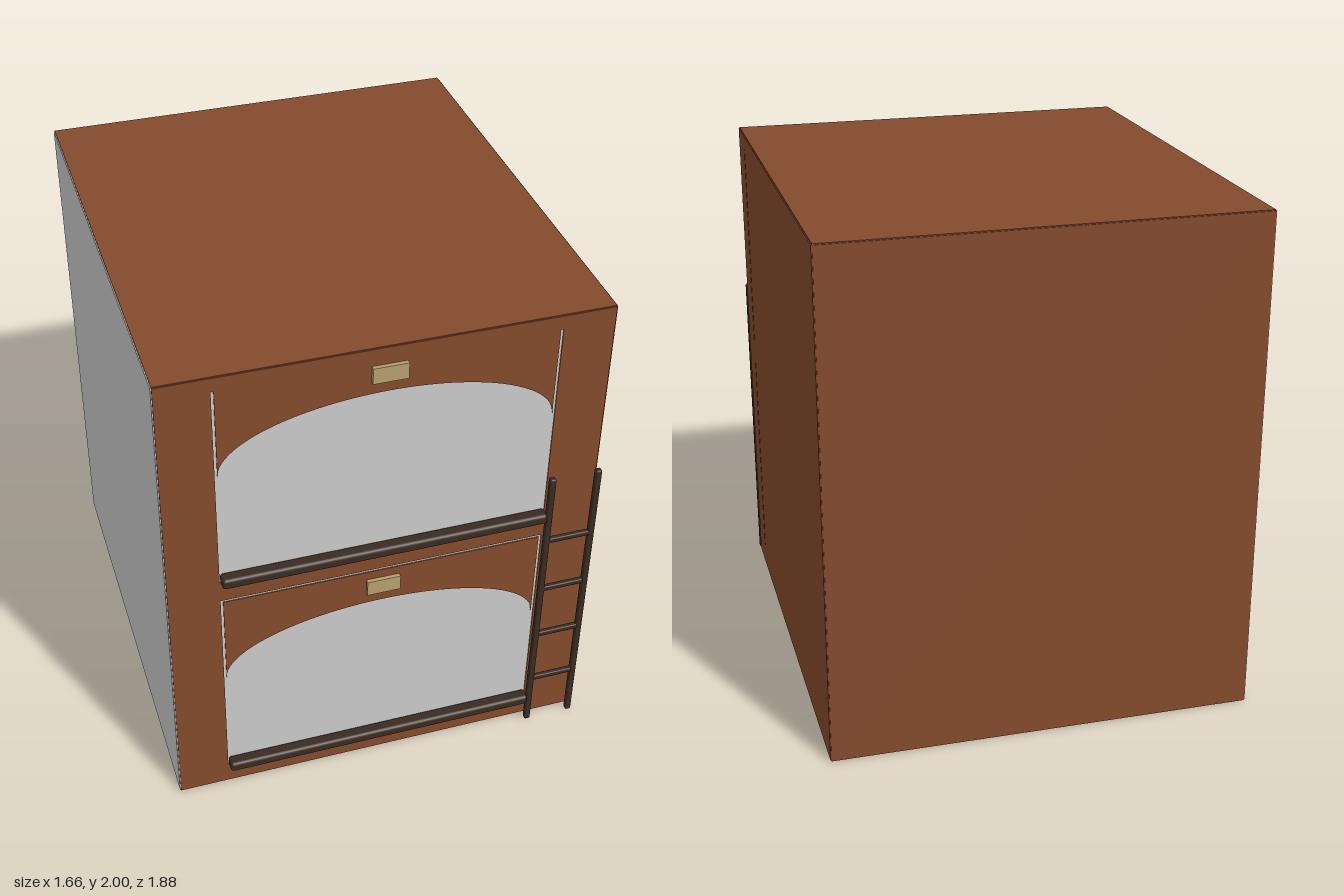
import * as THREE from 'three';
import { RoundedBoxGeometry } from 'three/addons/geometries/RoundedBoxGeometry.js';

const mat = (name, color) => {
  const m = new THREE.MeshStandardMaterial({ color });
  m.name = name;
  return m;
};

export function createModel() {
  const shellGrey = mat('shell grey', 0xcbcbcb);
  const woodBrown = mat('wood brown', 0x834a2c);
  const darkWood = mat('dark wood', 0x3b2b21);
  const brass = mat('brass', 0xb8a070);

  const model = new THREE.Group();
  model.name = 'bunkPods';

  const add = (name, geometry, material, x, y, z, parent = model) => {
    const mesh = new THREE.Mesh(geometry, material);
    mesh.name = name;
    mesh.position.set(x, y, z);
    parent.add(mesh);
    return mesh;
  };

  const T = 0.004; // cladding thickness, also the reveal along the edges
  const W = 0.83, FRONT = 0.89, BACK = -0.94;
  const depth = FRONT - BACK, midZ = (FRONT + BACK) / 2;

  const rect = (Type, x0, y0, x1, y1) => {
    const p = new Type();
    p.moveTo(x0, y0);
    p.lineTo(x1, y0);
    p.lineTo(x1, y1);
    p.lineTo(x0, y1);
    p.closePath();
    return p;
  };
  const plate = (shape) =>
    new THREE.ExtrudeGeometry(shape, { depth: T, bevelEnabled: false, curveSegments: 40 });

  // Pod bays: floor, top of the arch panel, spring line of the arch
  const bays = [
    { name: 'lower', floor: 0.095, top: 0.99, lip: 0.98, spring: 0.59, sign: 0.91, rail: 0.122 },
    { name: 'upper', floor: 1.08, top: 1.94, lip: 1.94, spring: 1.575, sign: 1.895, rail: 1.107 },
  ];

  // Pale core, left bare on one side
  add('core', new THREE.BoxGeometry(2 * W - T, 2 - 2 * T, depth - 2 * T), shellGrey, -T / 2, 1, midZ);

  // Front cladding with a rectangular cut-out per bay
  const front = rect(THREE.Shape, -W + T, T, W - T, 2 - T);
  bays.forEach((b) => front.holes.push(rect(THREE.Path, -0.63, b.floor, 0.63, b.top)));
  add('frontPanel', plate(front), woodBrown, 0, 0, FRONT - T);

  // Side cladding with a narrow vertical slot per bay
  const side = rect(THREE.Shape, -FRONT + T, T, -BACK - T, 2 - T);
  bays.forEach((b) => side.holes.push(rect(THREE.Path, -0.733, b.floor, -0.723, b.top)));
  add('sidePanel', plate(side), woodBrown, W - T, 0, 0).rotation.y = Math.PI / 2;

  // Back, roof and base cladding
  add('backPanel', new THREE.BoxGeometry(2 * W - 2 * T, 2 - 2 * T, T), woodBrown, 0, 1, BACK + T / 2);
  [['roofPanel', 2 - T / 2], ['basePanel', T / 2]].forEach(([name, y]) =>
    add(name, new THREE.BoxGeometry(2 * W - 2 * T, T, depth - 2 * T), woodBrown, 0, y, midZ));

  bays.forEach((b) => {
    const bay = new THREE.Group();
    bay.name = `${b.name}Bay`;
    model.add(bay);

    // Arched header above the opening
    const arch = new THREE.Shape();
    arch.moveTo(0.62, b.lip);
    arch.lineTo(-0.62, b.lip);
    arch.lineTo(-0.62, b.spring);
    arch.absellipse(0, b.spring, 0.62, 0.238, Math.PI, 0, true);
    arch.closePath();
    add('archPanel', plate(arch), woodBrown, 0, 0, FRONT - T, bay);

    // Small plaque and the safety rail
    add('plaque', new THREE.BoxGeometry(0.13, 0.065, 0.016), brass, -0.005, b.sign, FRONT + 0.008, bay);
    add('guardRail', new RoundedBoxGeometry(1.255, 0.043, 0.052, 2, 0.012), darkWood, -0.002, b.rail, 0.914, bay);
  });

  // Ladder
  const ladder = new THREE.Group();
  ladder.name = 'ladder';
  model.add(ladder);
  [0.637, 0.82].forEach((x) =>
    add('ladderPost', new RoundedBoxGeometry(0.024, 1.29, 0.024, 2, 0.006), darkWood, x, 0.645, 0.92, ladder));
  [0.235, 0.485, 0.733, 0.983].forEach((y) =>
    add('ladderRung', new RoundedBoxGeometry(0.18, 0.022, 0.02, 2, 0.005), darkWood, 0.7285, y, 0.92, ladder));

  return model;
}
